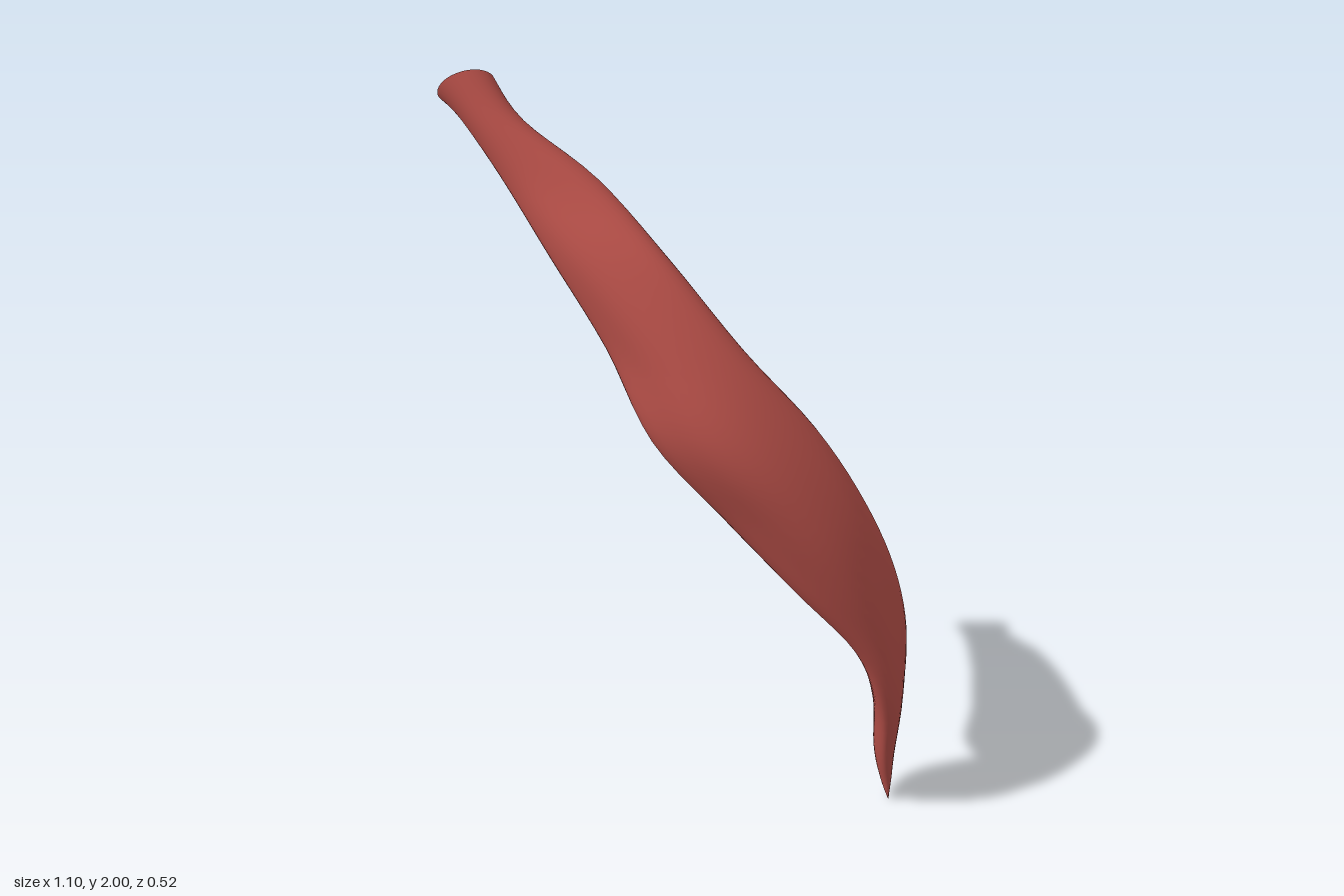
import * as THREE from 'three';

// Sections from top to bottom: y, xMin, xMax, zMin, zMax, skew, bow, tiltX, tiltZ
const SECTIONS = [
  [1.95, -0.55, -0.42, -0.26, -0.17, 0.0, 0.00, 0.01, 0.05],
  [1.88, -0.50, -0.36, -0.235, -0.125, 0.2, 0.00, 0.0, 0.02],
  [1.76, -0.42, -0.20, -0.17, -0.04, 0.4, 0.00, 0, 0],
  [1.60, -0.325, -0.05, -0.085, 0.08, 0.5, 0.00, 0, 0],
  [1.40, -0.21, 0.11, 0.00, 0.18, 0.4, 0.02, 0, 0],
  [1.20, -0.12, 0.28, 0.075, 0.245, 0.0, 0.04, 0, 0],
  [1.00, 0.04, 0.40, 0.065, 0.255, -0.1, 0.03, 0, 0],
  [0.80, 0.21, 0.485, 0.05, 0.24, -0.35, 0.01, 0, 0],
  [0.60, 0.375, 0.535, 0.02, 0.205, -0.55, 0.00, 0, 0],
  [0.40, 0.45, 0.547, -0.025, 0.165, -0.5, 0.00, 0, 0],
  [0.18, 0.485, 0.542, -0.062, 0.08, -0.3, 0.00, 0, 0],
  [0.06, 0.515, 0.54, -0.045, 0.025, 0.0, 0.00, 0, 0],
  [0.00, 0.535, 0.537, -0.002, 0.002, 0.0, 0.00, 0, 0],
];
const SIDES = 36, STEPS = 5;

// Smooth blend between the section rows
function sectionAt(u) {
  const last = SECTIONS.length - 1;
  const i = Math.min(Math.floor(u), last - 1), t = u - i;
  const row = k => SECTIONS[Math.max(0, Math.min(last, k))];
  return row(i).map((b, c) => {
    const a = row(i - 1)[c], d = row(i + 1)[c], e = row(i + 2)[c];
    return b + 0.5 * t * (d - a + t * (2 * a - 5 * b + 4 * d - e + t * (3 * (b - d) + e - a)));
  });
}

// Points of one skewed, bowed ring with shallow lengthwise fibre grooves
function ring(u) {
  const [y, x0, x1, z0, z1, skew, bow, tiltX, tiltZ] = sectionAt(u);
  const belly = Math.sin(Math.PI * u / (SECTIONS.length - 1));
  const points = [];
  for (let j = 0; j < SIDES; j++) {
    const a = j / SIDES * Math.PI * 2, c = Math.cos(a), s = Math.sin(a);
    const groove = 1 - 0.03 * belly * (1 + Math.sin(5 * a + 0.5 * u));
    points.push([
      (x0 + x1) / 2 + (x1 - x0) / 2 * c * groove,
      Math.max(0, y + tiltX * c + tiltZ * s),
      (z0 + z1) / 2 + (z1 - z0) / 2 * Math.sin(a + skew) * groove - bow * c * c,
    ]);
  }
  return points;
}

function makeGeometry(points, index) {
  const g = new THREE.BufferGeometry();
  g.setAttribute('position', new THREE.Float32BufferAttribute(points.flat(), 3));
  g.setIndex(index);
  g.computeVertexNormals();
  return g;
}

export function createModel() {
  const group = new THREE.Group();
  group.name = 'muscle';
  const red = new THREE.MeshStandardMaterial({ color: 0xb9514a });
  red.name = 'muscle red';

  // Belly, lofted through all the rings down to the pointed tip
  const rows = (SECTIONS.length - 1) * STEPS;
  const points = [], index = [];
  for (let i = 0; i <= rows; i++) points.push(...ring(i / STEPS));
  for (let i = 0; i < rows; i++) {
    for (let j = 0; j < SIDES; j++) {
      const a = i * SIDES + j, b = i * SIDES + (j + 1) % SIDES;
      index.push(a, b, a + SIDES, b, b + SIDES, a + SIDES);
    }
  }
  const belly = new THREE.Mesh(makeGeometry(points, index), red);
  belly.name = 'muscleBelly';

  // Blunt upper end
  const rim = ring(0), capIndex = [];
  for (let j = 0; j < SIDES; j++) capIndex.push(SIDES, (j + 1) % SIDES, j);
  const cap = new THREE.Mesh(makeGeometry([...rim, [-0.487, 1.965, -0.215]], capIndex), red);
  cap.name = 'upperEnd';

  group.add(belly, cap);
  return group;
}
